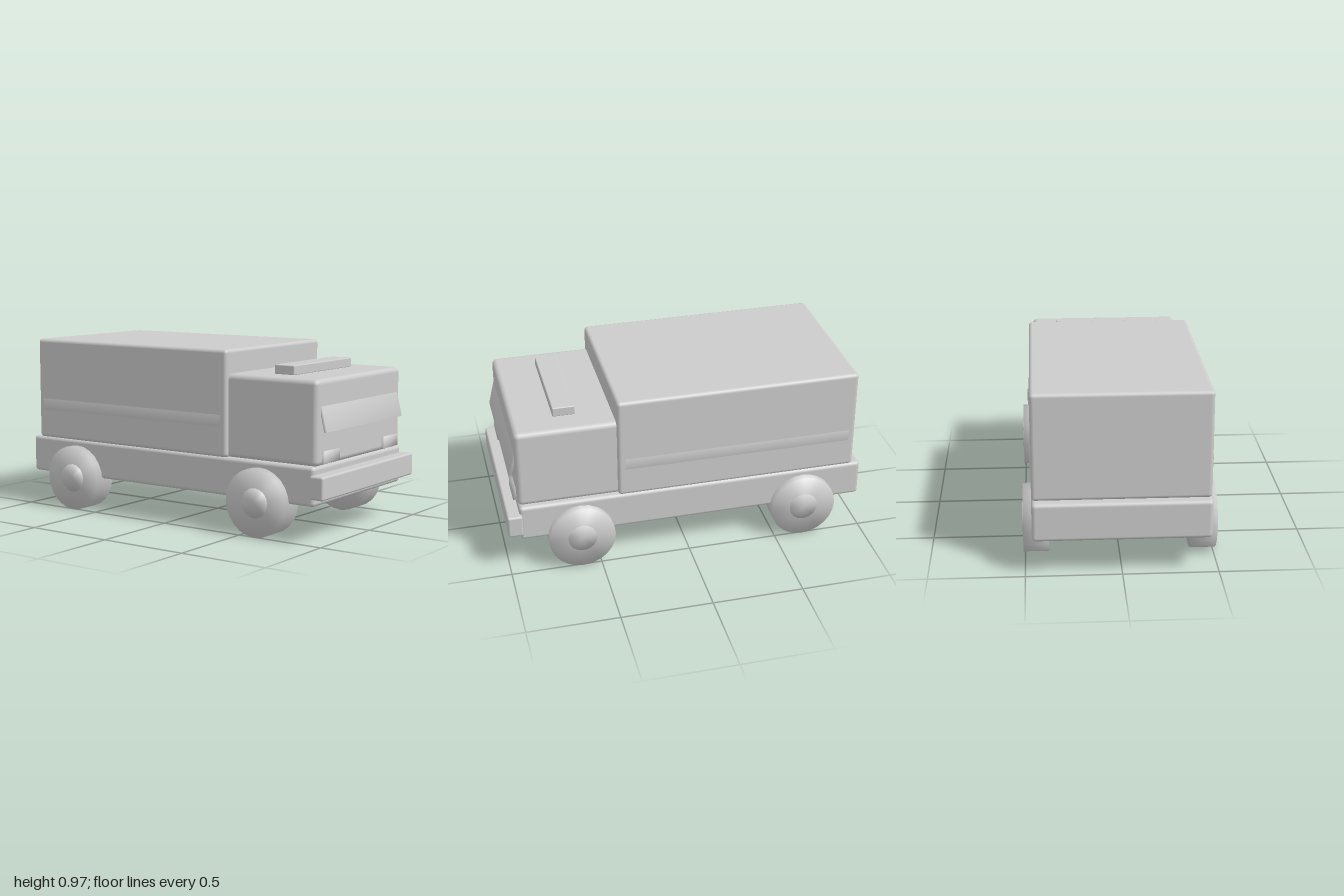
import * as THREE from 'three';
import { mergeVertices } from 'three/addons/utils/BufferGeometryUtils.js';
import { RoundedBoxGeometry } from 'three/addons/geometries/RoundedBoxGeometry.js';

export function createModel() {
  const truck = new THREE.Group();
  truck.name = 'boxTruck';
  const grey = new THREE.MeshStandardMaterial({ color: 0xcccccc });
  grey.name = 'plain grey';

  const add = (name, geometry) => {
    const mesh = new THREE.Mesh(geometry, grey);
    mesh.name = name;
    truck.add(mesh);
    return mesh;
  };

  // Box with bevelled edges, given by its extents on each axis
  const block = (name, [x0, x1], [y0, y1], [z0, z1], bevel) => {
    const mesh = add(name, new RoundedBoxGeometry(x1 - x0, y1 - y0, z1 - z0, 2, bevel));
    mesh.position.set((x0 + x1) / 2, (y0 + y1) / 2, (z0 + z1) / 2);
    return mesh;
  };

  // Shared normals across every edge, for the softly shaded parts
  const soften = (geometry) => {
    geometry.deleteAttribute('normal');
    geometry.deleteAttribute('uv');
    const merged = mergeVertices(geometry, 1e-4);
    merged.computeVertexNormals();
    return merged;
  };

  // Body
  block('chassis', [-0.463, 0.463], [0.19, 0.397], [-1, 0.932], 0.02);
  block('cargoBox', [-0.463, 0.463], [0.394, 0.968], [-0.953, 0.388], 0.02);
  block('cab', [-0.44, 0.44], [0.394, 0.84], [0.36, 0.934], 0.028);
  block('bumper', [-0.485, 0.485], [0.233, 0.357], [0.918, 1], 0.012);
  block('roofLightBar', [-0.295, 0.295], [0.838, 0.89], [0.582, 0.704], 0.006);

  // Tilted windscreen
  const windscreen = add('windscreen', soften(new THREE.BoxGeometry(0.8, 0.135, 0.016)));
  windscreen.position.set(0, 0.636, 0.946);
  windscreen.rotation.x = -0.24;

  for (const side of [1, -1]) {
    const label = side > 0 ? 'left' : 'right';

    const headlight = add(label + 'Headlight', soften(new THREE.BoxGeometry(0.148, 0.063, 0.03)));
    headlight.position.set(side * 0.314, 0.441, 0.938);

    const stripe = add(label + 'SideStripe', soften(new THREE.BoxGeometry(0.012, 0.063, 1.265)));
    stripe.position.set(side * 0.461, 0.59, -0.283);

    // Wheels with a slightly proud hub
    for (const [end, z] of [['Front', 0.602], ['Rear', -0.66]]) {
      const wheel = add(label + end + 'Wheel',
        soften(new THREE.CylinderGeometry(0.183, 0.183, 0.134, 24).rotateZ(Math.PI / 2)));
      wheel.position.set(side * 0.442, 0.183, z);

      const hub = add(label + end + 'Hub',
        soften(new THREE.CylinderGeometry(0.08, 0.08, 0.14, 16).rotateZ(Math.PI / 2)));
      hub.position.set(side * 0.443, 0.183, z);
    }
  }
  return truck;
}
